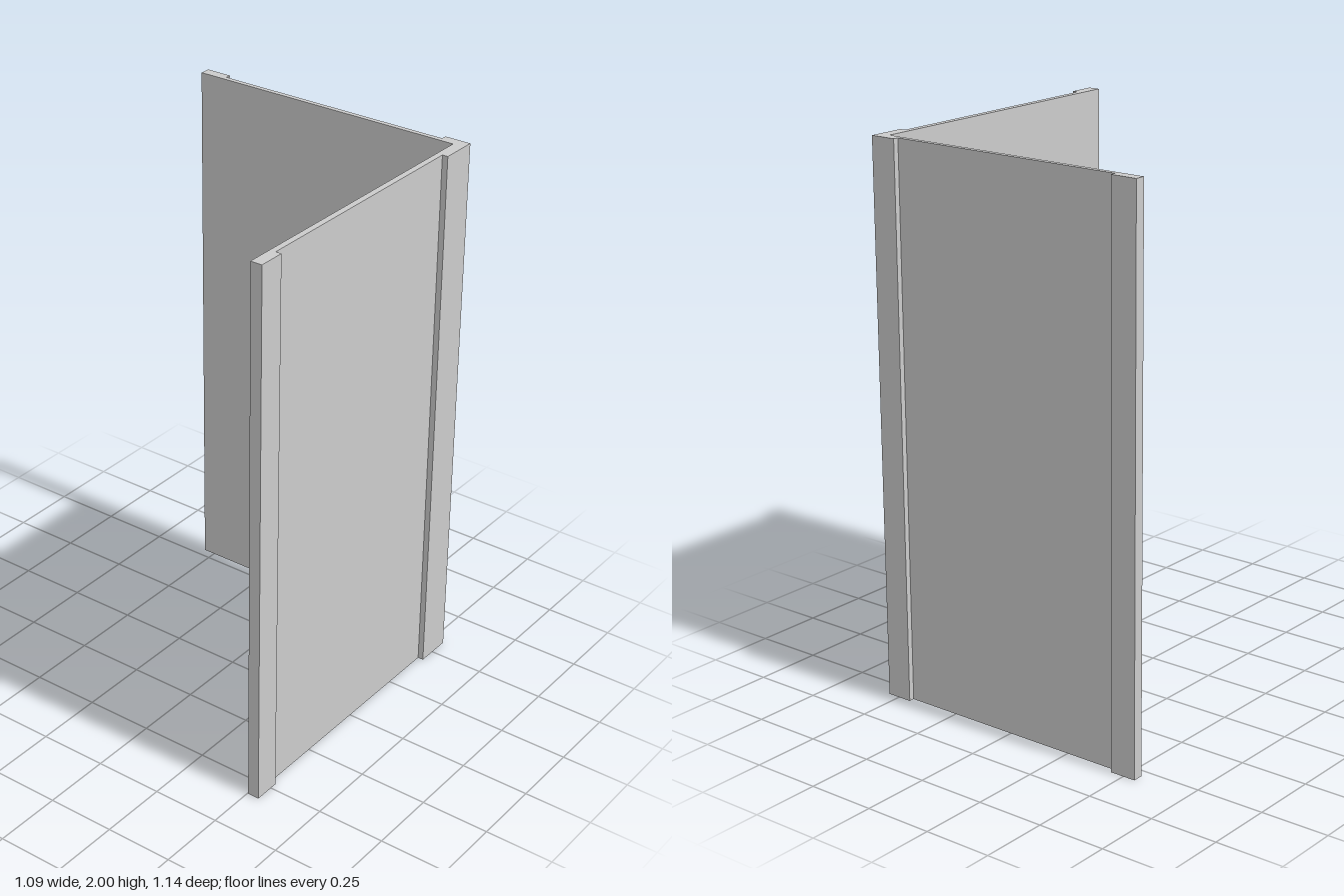
import * as THREE from 'three';

const HEIGHT = 2;

// Plan outline as [x, z]: two thin walls meeting at a corner,
// with raised outer pilasters at the corner and both free ends.
const PLAN = [
  [-0.546, -0.535], // inner face of back wall
  [0.503, -0.535],
  [0.503, 0.571], // inner face of side wall
  [0.546, 0.571], // front pilaster
  [0.546, 0.474],
  [0.525, 0.474], // outer face of side wall
  [0.525, -0.437],
  [0.546, -0.437], // corner pilaster
  [0.546, -0.573],
  [0.449, -0.573],
  [0.449, -0.553], // outer face of back wall
  [-0.449, -0.553],
  [-0.449, -0.573], // end pilaster
  [-0.546, -0.573],
];

export function createModel() {
  const model = new THREE.Group();
  model.name = 'cornerWall';

  // Extrude the plan upwards; shape y is -z so it stands upright after turning
  const shape = new THREE.Shape(PLAN.map(([x, z]) => new THREE.Vector2(x, -z)));
  const geometry = new THREE.ExtrudeGeometry(shape, { depth: HEIGHT, bevelEnabled: false });
  geometry.rotateX(-Math.PI / 2);

  const walls = new THREE.Mesh(geometry, new THREE.MeshStandardMaterial({ color: 0xcccccc }));
  walls.name = 'wallsWithPilasters';
  model.add(walls);
  return model;
}
